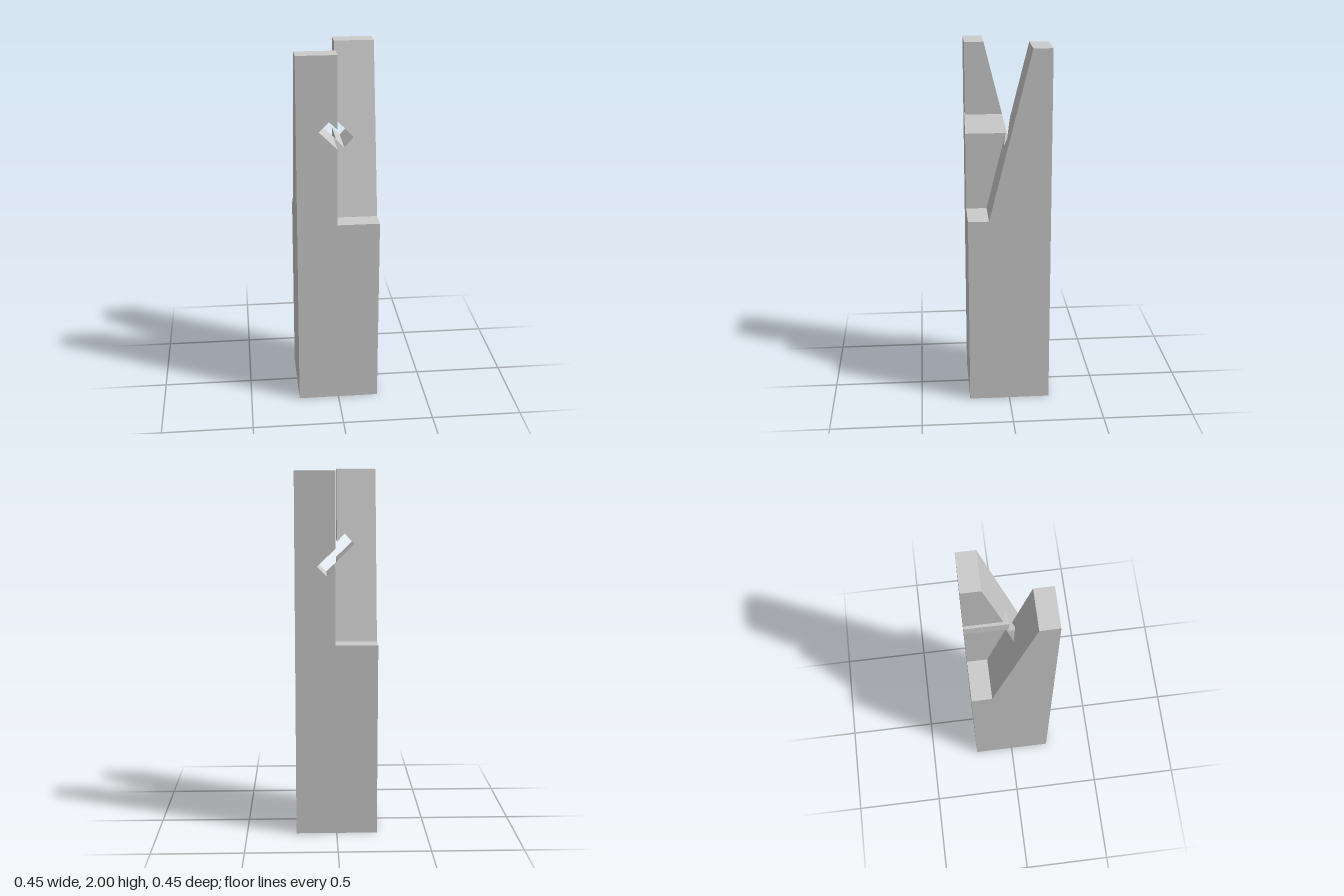
import * as THREE from 'three';

const HALF = 0.225;   // half width of the square post
const STEP = 1.07;    // height where the two prongs begin
const TOP = 2;
const GAP = 0.008;    // half of the slit between the prongs

// sloped cut faces: z as a function of height
const backSlope = y => (1.515 - y) * 0.25;   // front of the back prong
const frontSlope = y => -backSlope(y);       // back of the front prong

export function createModel() {
  const group = new THREE.Group();
  const material = new THREE.MeshStandardMaterial({ color: 0xcccccc, flatShading: true });

  const add = (name, geometry) => {
    const mesh = new THREE.Mesh(geometry, material);
    mesh.name = name;
    group.add(mesh);
  };

  // extrude an xy outline in z, then set both ends to a rule of y
  const slab = (name, points, zBack, zFront) => {
    const shape = new THREE.Shape(points.map(p => new THREE.Vector2(...p)));
    const geometry = new THREE.ExtrudeGeometry(shape, { depth: 1, bevelEnabled: false });
    const pos = geometry.attributes.position;
    for (let i = 0; i < pos.count; i++) {
      const y = pos.getY(i);
      pos.setZ(i, pos.getZ(i) > 0.5 ? zFront(y) : zBack(y));
    }
    geometry.computeVertexNormals();
    add(name, geometry);
  };

  // solid lower post
  const post = new THREE.BoxGeometry(2 * HALF, STEP, 2 * HALF);
  post.translate(0, STEP / 2, 0);
  add('post', post);

  // front prong, with the upper half of the diagonal slot cut in its inner edge
  slab('frontProng', [
    [-HALF, STEP], [-GAP, STEP], [-GAP, 1.5], [-0.105, 1.595],
    [-0.052, 1.65], [-GAP, 1.607], [-GAP, TOP], [-HALF, TOP],
  ], frontSlope, () => HALF);

  // back prong, with the lower half of the slot
  slab('backProng', [
    [HALF, STEP], [HALF, TOP], [GAP, TOP], [GAP, 1.591],
    [0.105, 1.497], [0.052, 1.442], [GAP, 1.485], [GAP, STEP],
  ], () => -HALF, backSlope);

  // thin web joining the prongs below the slot
  slab('web', [
    [-GAP, STEP], [GAP, STEP], [GAP, 1.485], [-GAP, 1.5],
  ], frontSlope, backSlope);

  return group;
}
